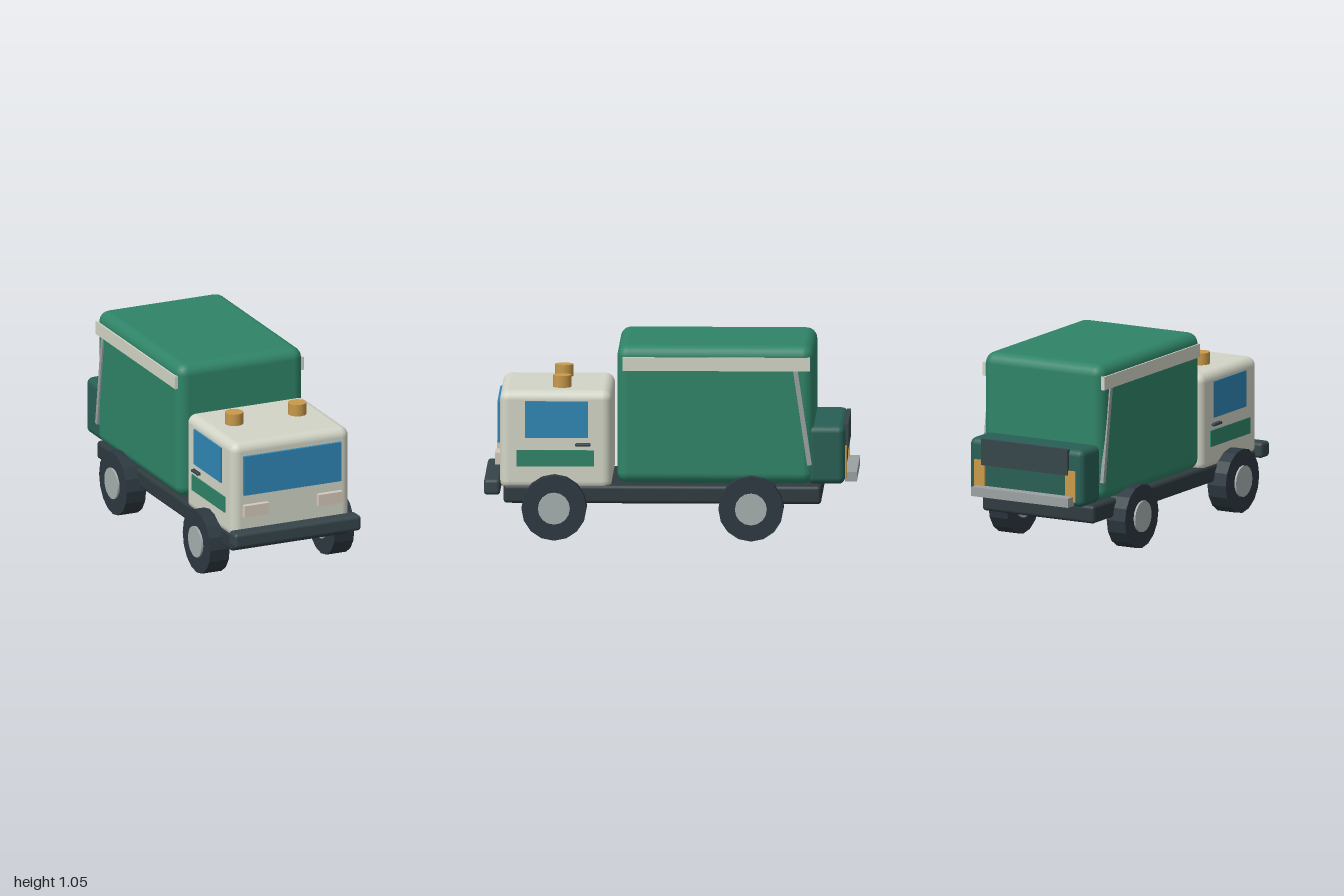
import * as THREE from 'three';
import { RoundedBoxGeometry } from 'three/addons/geometries/RoundedBoxGeometry.js';

const mat = (color, flatShading = false) => {
  const m = new THREE.MeshStandardMaterial({ color });
  m.flatShading = flatShading;
  return m;
};

export function createModel() {
  const truck = new THREE.Group();
  truck.name = 'garbageTruck';

  const green = mat(0x2f8468), darkGreen = mat(0x285f55), cream = mat(0xd2d5c6);
  const glass = mat(0x2f86b5), dark = mat(0x36454a), chassisGrey = mat(0x2f3b40);
  const rubber = mat(0x2c3840, true), hubGrey = mat(0xa7b1af), steel = mat(0x9ba1a2);
  const amber = mat(0xc99a4a), lens = mat(0xd5cabb);

  const add = (name, geometry, material, x, y, z) => {
    const mesh = new THREE.Mesh(geometry, material);
    mesh.name = name;
    mesh.position.set(x, y, z);
    truck.add(mesh);
    return mesh;
  };
  // Boxes given by their lower and upper limits on each axis
  const box = (name, material, [x0, x1], [y0, y1], [z0, z1], radius = 0) => {
    const size = [x1 - x0, y1 - y0, z1 - z0];
    const geometry = radius
      ? new RoundedBoxGeometry(...size, 3, radius)
      : new THREE.BoxGeometry(...size);
    return add(name, geometry, material, (x0 + x1) / 2, (y0 + y1) / 2, (z0 + z1) / 2);
  };
  const span = (side, a, b) => (side > 0 ? [a, b] : [-b, -a]);

  // Main volumes
  box('chassis', chassisGrey, [-0.35, 0.35], [0.19, 0.29], [-0.81, 0.895], 0.02);
  box('cab', cream, [-0.35, 0.35], [0.26, 0.8], [0.315, 0.915], 0.05);
  box('cargoBody', green, [-0.372, 0.372], [0.3, 1.05], [-0.77, 0.285], 0.06);
  box('rearHopper', darkGreen, [-0.355, 0.355], [0.3, 0.615], [-0.937, -0.735], 0.035);

  // Front fittings
  box('frontBumper', dark, [-0.375, 0.375], [0.237, 0.323], [0.912, 1], 0.02);
  box('windscreen', glass, [-0.288, 0.288], [0.51, 0.73], [0.905, 0.93]);

  // Rear fittings
  box('hopperDoor', dark, [-0.27, 0.27], [0.475, 0.617], [-0.953, -0.93]);
  box('rearStep', steel, [-0.302, 0.302], [0.31, 0.36], [-1, -0.937]);

  for (const s of [1, -1]) {
    const tag = s > 0 ? 'left' : 'right';
    // Cab details
    box(`${tag}Headlight`, lens, span(s, 0.148, 0.291), [0.39, 0.455], [0.905, 0.943]);
    box(`${tag}Window`, glass, span(s, 0.34, 0.358), [0.547, 0.745], [0.44, 0.78]);
    box(`${tag}DoorStripe`, green, span(s, 0.34, 0.357), [0.392, 0.48], [0.41, 0.825]);
    box(`${tag}DoorHandle`, dark, span(s, 0.345, 0.37), [0.502, 0.519], [0.427, 0.51], 0.007);
    add(`${tag}Beacon`, new THREE.CylinderGeometry(0.05, 0.05, 0.075, 12), amber, s * 0.187, 0.827, 0.585);

    // Body rail, lifting strut and tail light
    box(`${tag}Rail`, cream, span(s, 0.36, 0.381), [0.917, 0.99], [-0.75, 0.255]);
    const strut = add(`${tag}Strut`, new THREE.BoxGeometry(0.02, 0.52, 0.025), steel, s * 0.37, 0.665, -0.71);
    strut.rotation.x = 0.147;
    box(`${tag}TailLight`, amber, span(s, 0.25, 0.315), [0.33, 0.5], [-0.946, -0.925]);

    // Wheels
    for (const [end, z] of [['Front', 0.622], ['Rear', -0.435]]) {
      const tyre = add(`${tag}${end}Tyre`, new THREE.CylinderGeometry(0.175, 0.175, 0.115, 16), rubber, s * 0.369, 0.175, z);
      const hub = add(`${tag}${end}Hub`, new THREE.CylinderGeometry(0.086, 0.086, 0.137, 16), hubGrey, s * 0.369, 0.175, z);
      tyre.rotation.z = hub.rotation.z = Math.PI / 2;
    }
  }
  return truck;
}
